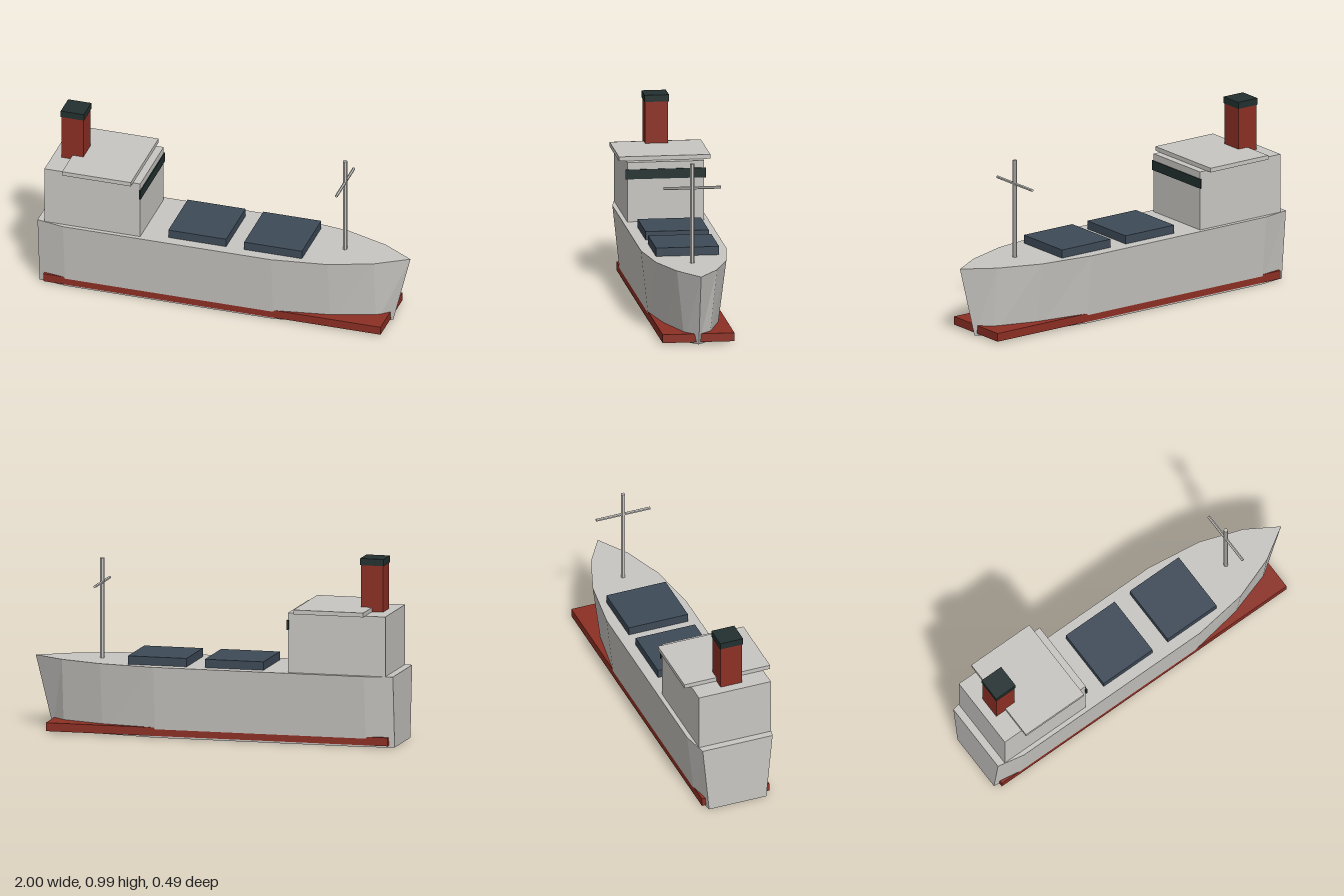
import * as THREE from 'three';

const mat = (name, color) => {
  const m = new THREE.MeshStandardMaterial({ color });
  m.name = name;
  return m;
};

// Faceted hull from stations: [xTop, halfWidthTop, xBottom, halfWidthBottom]
function hullGeometry(stations, height) {
  const pos = [];
  const quad = (a, b, c, d) => pos.push(...a, ...b, ...c, ...a, ...c, ...d);
  const ring = ([xt, wt, xb, wb]) => ({
    tl: [xt, height, wt], tr: [xt, height, -wt],
    bl: [xb, 0, wb], br: [xb, 0, -wb],
  });
  const rings = stations.map(ring);
  for (let i = 0; i < rings.length - 1; i++) {
    const a = rings[i], b = rings[i + 1];
    quad(a.bl, b.bl, b.tl, a.tl); // +z side
    quad(b.br, a.br, a.tr, b.tr); // -z side
    quad(a.tl, b.tl, b.tr, a.tr); // deck
    quad(a.br, b.br, b.bl, a.bl); // bottom
  }
  const s = rings[0];
  quad(s.br, s.bl, s.tl, s.tr); // transom
  const g = new THREE.BufferGeometry();
  g.setAttribute('position', new THREE.Float32BufferAttribute(pos, 3));
  g.computeVertexNormals();
  return g;
}

export function createModel() {
  const ship = new THREE.Group();
  ship.name = 'cargoShip';

  const grey = mat('paleGrey', 0xc8c6c2);
  grey.flatShading = true;
  const red = mat('rustRed', 0x8c2f24);
  const dark = mat('darkTeal', 0x22302f);
  const slate = mat('slateBlue', 0x3d4a57);

  const add = (name, geometry, material) => {
    const mesh = new THREE.Mesh(geometry, material);
    mesh.name = name;
    ship.add(mesh);
    return mesh;
  };
  // Box given by its x and y ranges and half width in z
  const box = (name, x0, x1, y0, y1, halfZ, material) =>
    add(name, new THREE.BoxGeometry(x1 - x0, y1 - y0, halfZ * 2), material)
      .position.set((x0 + x1) / 2, (y0 + y1) / 2, 0);

  const deck = 0.383;

  // Hull with raked bow and flared sides
  add('hull', hullGeometry([
    [-1, 0.198, -1, 0.162],
    [-0.85, 0.228, -0.85, 0.186],
    [0.3, 0.228, 0.3, 0.186],
    [0.6, 0.187, 0.6, 0.137],
    [0.83, 0.106, 0.83, 0.066],
    [1, 0, 0.905, 0],
  ], deck), grey);
  box('waterlineBand', -0.97, 0.895, 0.01, 0.055, 0.191, red);

  // Bridge house, roof and window strip
  box('bridgeHouse', -0.96, -0.43, deck, 0.703, 0.204, grey);
  box('bridgeRoof', -0.85, -0.47, 0.703, 0.726, 0.243, grey);
  box('bridgeWindow', -0.434, -0.425, 0.613, 0.665, 0.213, dark);

  // Funnel
  box('funnel', -0.91, -0.79, 0.7, 0.95, 0.061, red);
  box('funnelCap', -0.914, -0.786, 0.95, 0.986, 0.065, dark);

  // Cargo hatches
  for (const x of [-0.126, 0.293])
    box('cargoHatch', x - 0.16, x + 0.16, deck, 0.428, 0.168, slate);

  // Foremast with cross yard
  add('mast', new THREE.CylinderGeometry(0.012, 0.012, 0.917 - deck, 6), grey)
    .position.set(0.638, (0.917 + deck) / 2, 0);
  const yard = add('mastYard', new THREE.CylinderGeometry(0.008, 0.008, 0.305, 6), grey);
  yard.rotation.x = Math.PI / 2;
  yard.position.set(0.638, 0.787, 0);

  return ship;
}
